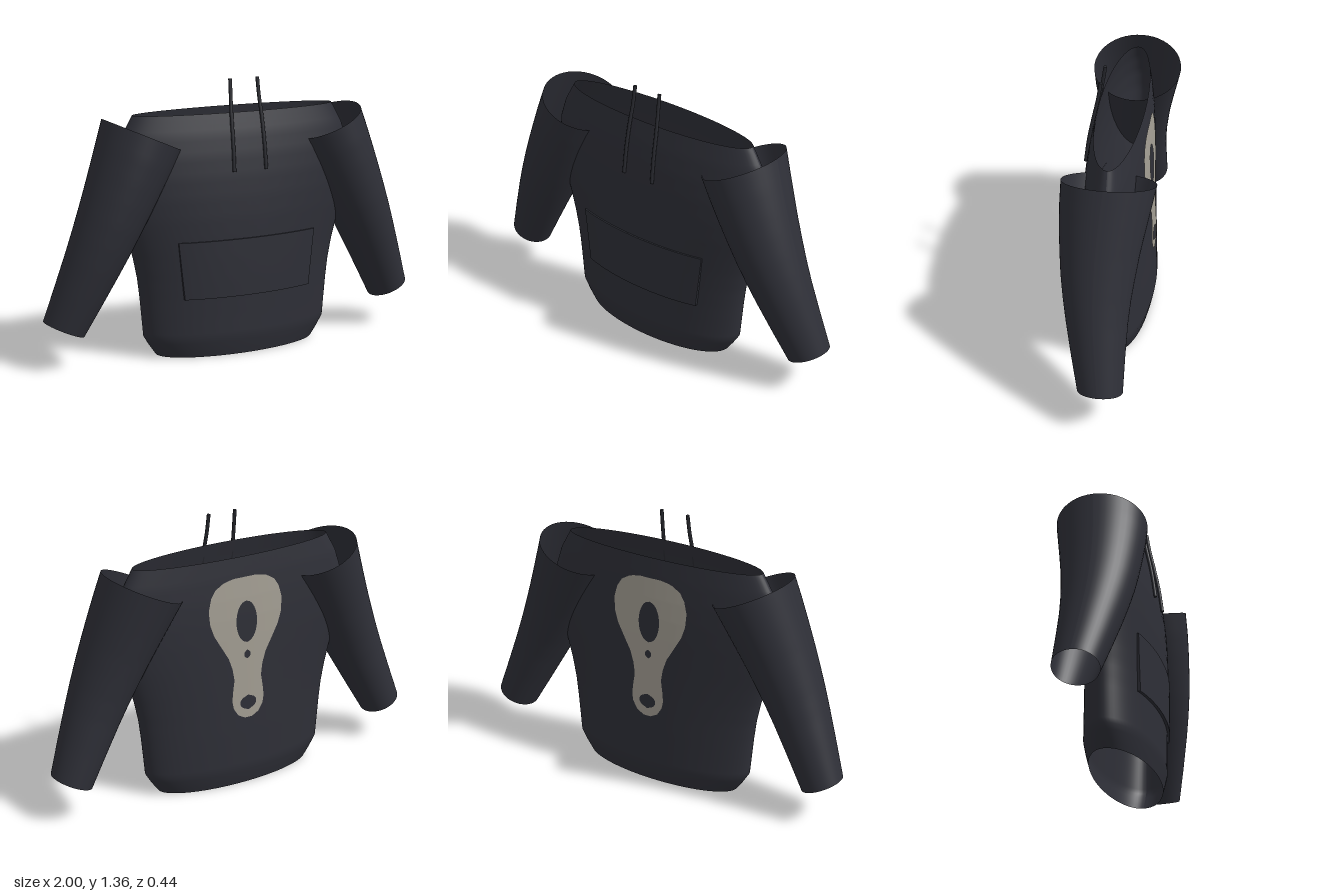
import * as THREE from 'three';
import { ParametricGeometry } from 'three/addons/geometries/ParametricGeometry.js';

const fabric = new THREE.MeshStandardMaterial({ color: 0x2e2f37, side: THREE.DoubleSide });
fabric.name = 'charcoal fabric';
const cord = new THREE.MeshStandardMaterial({ color: 0x28292f });
cord.name = 'dark cord';
const print = new THREE.MeshStandardMaterial({ color: 0xa39e93, side: THREE.DoubleSide });
print.name = 'warm grey print';

// Linear lookup in rows sorted by their first value
function look(rows, k, col) {
  let i = 0;
  while (i < rows.length - 2 && k > rows[i + 1][0]) i++;
  const a = rows[i], b = rows[i + 1];
  return THREE.MathUtils.lerp(a[col], b[col], THREE.MathUtils.clamp((k - a[0]) / (b[0] - a[0]), 0, 1));
}

function surface(name, fn, nu, nv, material) {
  const geo = new ParametricGeometry(fn, nu, nv);
  geo.computeVertexNormals();
  const mesh = new THREE.Mesh(geo, material);
  mesh.name = name;
  return mesh;
}

// Torso rows: height, half width, front depth, back depth
const BODY = [
  [0, 0.43, 0.165, 0.143], [0.05, 0.465, 0.176, 0.155], [0.1, 0.495, 0.185, 0.164],
  [0.2, 0.504, 0.184, 0.161], [0.3, 0.513, 0.184, 0.158], [0.4, 0.525, 0.186, 0.154],
  [0.5, 0.545, 0.187, 0.15], [0.6, 0.572, 0.187, 0.146], [0.7, 0.603, 0.185, 0.142],
  [0.8, 0.627, 0.18, 0.138], [0.9, 0.637, 0.172, 0.133], [1.0, 0.63, 0.16, 0.126],
  [1.1, 0.597, 0.143, 0.117], [1.2, 0.54, 0.12, 0.105],
];
const bodyZ = (x, y, col) => look(BODY, y, col) * Math.sqrt(Math.max(0, 1 - (x / look(BODY, y, 1)) ** 2));

// Sleeve rows: fraction along the arm, front edge z, back edge z
const ARM = [
  [0, 0.22, -0.22], [0.11, 0.221, -0.2], [0.22, 0.217, -0.18], [0.33, 0.21, -0.161], [0.44, 0.2, -0.146],
  [0.55, 0.185, -0.133], [0.66, 0.166, -0.125], [0.83, 0.132, -0.121], [1, 0.095, -0.12],
];

// Back print rows: height, outer half width
const PRINT = [
  [0.37, 0.02], [0.39, 0.058], [0.43, 0.083], [0.47, 0.09], [0.52, 0.085], [0.58, 0.076], [0.64, 0.085],
  [0.7, 0.105], [0.76, 0.14], [0.83, 0.18], [0.89, 0.2], [0.96, 0.205], [1.02, 0.19], [1.06, 0.165],
  [1.09, 0.115], [1.1, 0.06],
];
// Openings in the print: centre height, half width, half height
const HOLES = [[0.875, 0.058, 0.105], [0.705, 0.018, 0.02], [0.45, 0.046, 0.035]];
const holeWidth = (y) => HOLES.reduce((m, [c, w, h]) =>
  Math.max(m, w * Math.sqrt(Math.max(0, 1 - ((y - c) / h) ** 2))), 0);

export function createModel() {
  const model = new THREE.Group();
  model.name = 'pullover';

  // Torso, an open oval tube
  model.add(surface('torso', (u, v, p) => {
    const a = -u * Math.PI * 2, y = v * 1.2, s = Math.sin(a);
    p.set(look(BODY, y, 1) * Math.cos(a), y, s * look(BODY, y, s > 0 ? 2 : 3));
  }, 80, 48, fabric));

  // Sleeves, open at both ends and curved forward at the elbow
  for (const side of [1, -1]) {
    model.add(surface(side > 0 ? 'leftSleeve' : 'rightSleeve', (u, v, p) => {
      const a = side * u * Math.PI * 2;
      const r = THREE.MathUtils.lerp(0.2, 0.105, v) * Math.cos(a);
      const front = look(ARM, v, 1), back = look(ARM, v, 2);
      p.set(side * (0.495 + 0.41 * v + 0.914 * r), 1.107 - 0.915 * v + 0.407 * r,
        (front + back) / 2 + Math.sin(a) * (front - back) / 2);
    }, 48, 36, fabric));
  }

  // Front pocket, a thin plate wrapped onto the torso
  const pocketGeo = new THREE.BoxGeometry(1, 1, 1, 28, 10, 1);
  const pos = pocketGeo.attributes.position;
  for (let i = 0; i < pos.count; i++) {
    const t = pos.getY(i) + 0.5;
    const x = pos.getX(i) * 2 * (0.34 + 0.03 * t), y = 0.305 + 0.285 * t;
    const lift = pos.getZ(i) > 0 ? 0.008 + 0.006 * (1 - t) : -0.001;
    pos.setXYZ(i, x, y, bodyZ(x, y, 2) + lift);
  }
  pocketGeo.computeVertexNormals();
  const pocket = new THREE.Mesh(pocketGeo, fabric);
  pocket.name = 'frontPocket';
  model.add(pocket);

  // Drawstrings, with a closed end at top and bottom
  for (const side of [1, -1]) {
    const path = new THREE.CatmullRomCurve3([
      [0.086, 0.92, 0.175], [0.084, 1.05, 0.158], [0.081, 1.18, 0.133], [0.076, 1.27, 0.114], [0.073, 1.362, 0.1],
    ].map(([x, y, z]) => new THREE.Vector3(side * x, y, z)));
    const string = new THREE.Group();
    string.name = side > 0 ? 'leftDrawstring' : 'rightDrawstring';
    string.add(new THREE.Mesh(new THREE.TubeGeometry(path, 20, 0.009, 10), cord));
    for (const t of [0, 1]) {
      const cap = new THREE.Mesh(new THREE.CircleGeometry(0.009, 10), cord);
      const end = path.getPoint(t);
      cap.position.copy(end);
      cap.lookAt(end.clone().addScaledVector(path.getTangent(t), t ? 1 : -1));
      string.add(cap);
    }
    model.add(string);
  }

  // Back print, two mirrored halves around the openings
  const backPrint = new THREE.Group();
  backPrint.name = 'backPrint';
  for (const side of [1, -1]) {
    backPrint.add(surface('printHalf', (u, v, p) => {
      const y = 0.37 + 0.73 * v;
      const x = side * THREE.MathUtils.lerp(holeWidth(y), look(PRINT, y, 1), side > 0 ? 1 - u : u);
      p.set(x, y, -bodyZ(x, y, 3) - 0.004);
    }, 10, 110, print));
  }
  model.add(backPrint);

  return model;
}
